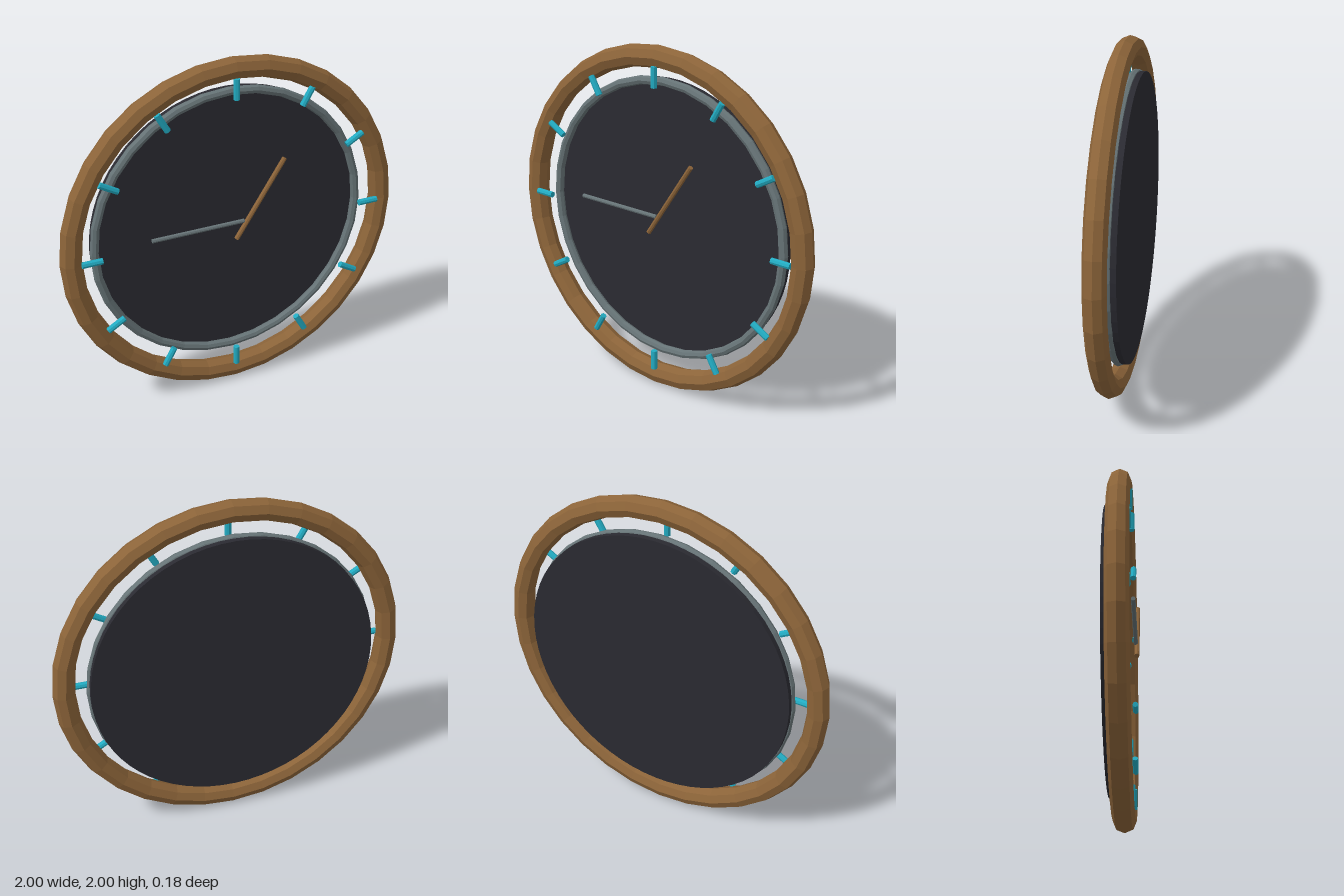
import * as THREE from 'three';

const material = (name, color) => {
  const m = new THREE.MeshStandardMaterial({ color, flatShading: true });
  m.name = name;
  return m;
};

export function createModel() {
  const wood = material('wood brown', 0x8c6439);
  const steel = material('steel grey', 0x667376);
  const slate = material('dark slate', 0x2a2a31);
  const cyan = material('cyan', 0x22abc2);

  const clock = new THREE.Group();
  clock.name = 'wallClock';

  const add = (name, geometry, mat) => {
    const mesh = new THREE.Mesh(geometry, mat);
    mesh.name = name;
    clock.add(mesh);
    return mesh;
  };

  // Thin round rod between two points
  const rod = (name, a, b, radius, mat) => {
    const from = new THREE.Vector3(...a);
    const dir = new THREE.Vector3(...b).sub(from);
    const mesh = add(name, new THREE.CylinderGeometry(radius, radius, dir.length(), 8), mat);
    mesh.position.copy(from).addScaledVector(dir, 0.5);
    mesh.quaternion.setFromUnitVectors(new THREE.Vector3(0, 1, 0), dir.normalize());
    return mesh;
  };

  // Outer wooden ring
  add('frame', new THREE.TorusGeometry(0.938, 0.062, 8, 32), wood).position.set(0, 1, 0);

  // Dial disc at the back and its metal rim
  const dial = add('dial', new THREE.CylinderGeometry(0.808, 0.808, 0.035, 64), slate);
  dial.rotation.x = Math.PI / 2;
  dial.position.set(0, 1, -0.068);
  add('dialRim', new THREE.TorusGeometry(0.797, 0.025, 8, 32), steel).position.set(0, 1, -0.035);

  // Twelve hour markers bridging rim and frame
  for (let i = 0; i < 12; i++) {
    const t = (i / 12) * Math.PI * 2;
    const at = (r) => [Math.sin(t) * r, 1 + Math.cos(t) * r, 0.047];
    rod('hourMarker', at(0.778), at(0.893), 0.018, cyan);
  }

  // Hands
  rod('minuteHand', [-0.505, 1.065, 0.069], [0.035, 1.065, 0.069], 0.012, steel);
  rod('hourHand', [-0.014, 0.965, 0.076], [0.273, 1.402, 0.076], 0.014, wood);

  return clock;
}
